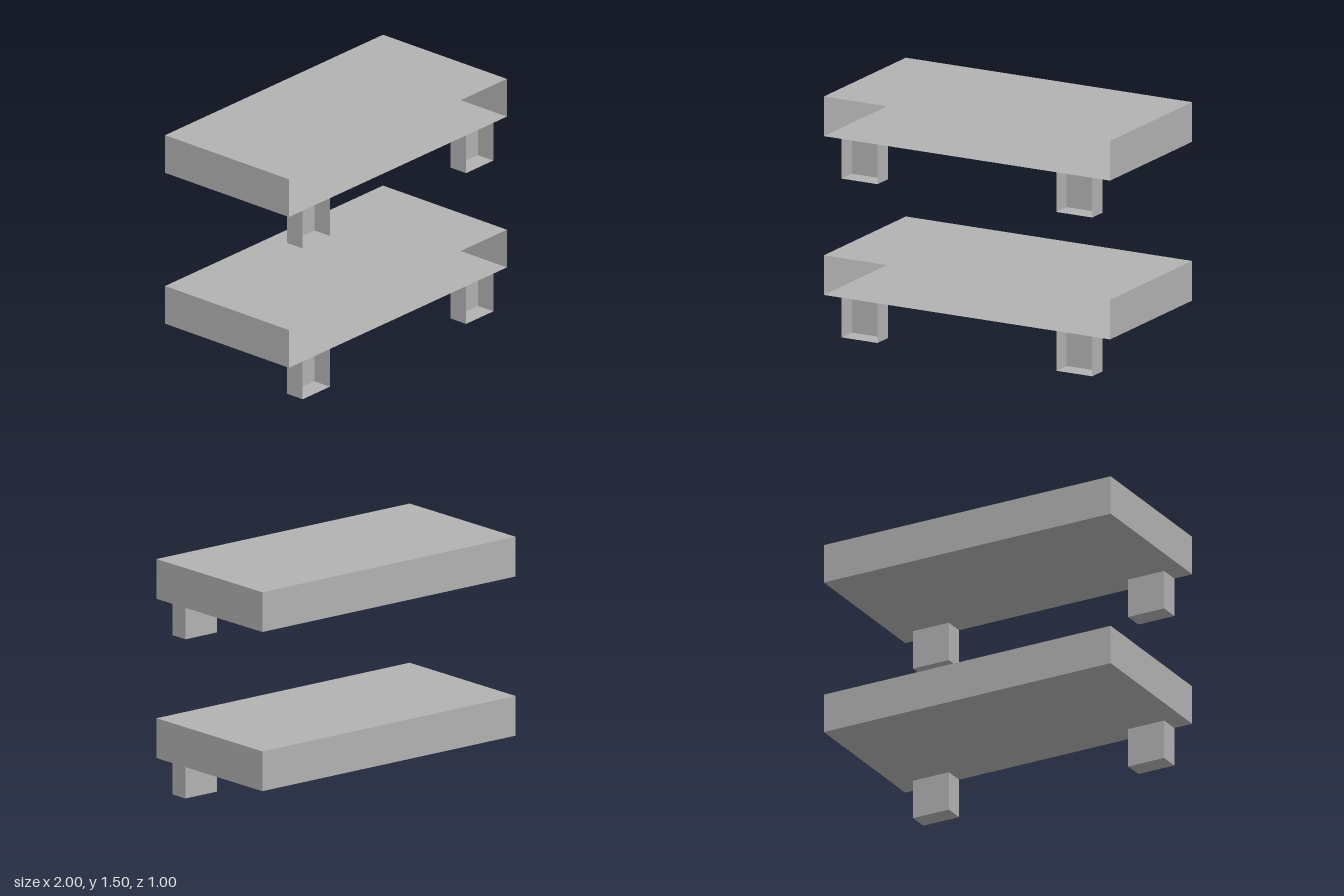
import * as THREE from 'three';

// Box shell without its front (+z) face; optionally without its top.
function openBox(width, height, depth, openTop) {
  const geometry = new THREE.BoxGeometry(width, height, depth);
  // Side order: +x, -x, +y, -y, +z, -z, six indices each
  const sides = openTop ? [0, 1, 3, 5] : [0, 1, 2, 3, 5];
  const index = Array.from(geometry.index.array);
  geometry.setIndex(sides.flatMap((s) => index.slice(s * 6, s * 6 + 6)));
  geometry.clearGroups();
  return geometry;
}

export function createModel() {
  const model = new THREE.Group();
  model.name = 'stackedShelves';
  const grey = new THREE.MeshStandardMaterial({ color: 0xb2b2b2, side: THREE.DoubleSide });
  grey.name = 'grey';

  const shelfGeometry = openBox(2, 0.25, 1, false);
  const legGeometry = openBox(0.25, 0.25, 0.125, true);

  // Two identical open-fronted shelves, one above the other
  ['lowerShelf', 'upperShelf'].forEach((name, level) => {
    const shelf = new THREE.Group();
    shelf.name = name;
    shelf.position.y = level;

    const body = new THREE.Mesh(shelfGeometry, grey);
    body.name = 'shelfBody';
    body.position.y = 0.375;
    shelf.add(body);

    // Hollow legs along the front edge
    for (const side of [-1, 1]) {
      const leg = new THREE.Mesh(legGeometry, grey);
      leg.name = side > 0 ? 'leftLeg' : 'rightLeg';
      leg.position.set(side * 0.75, 0.125, 0.4375);
      shelf.add(leg);
    }
    model.add(shelf);
  });
  return model;
}
